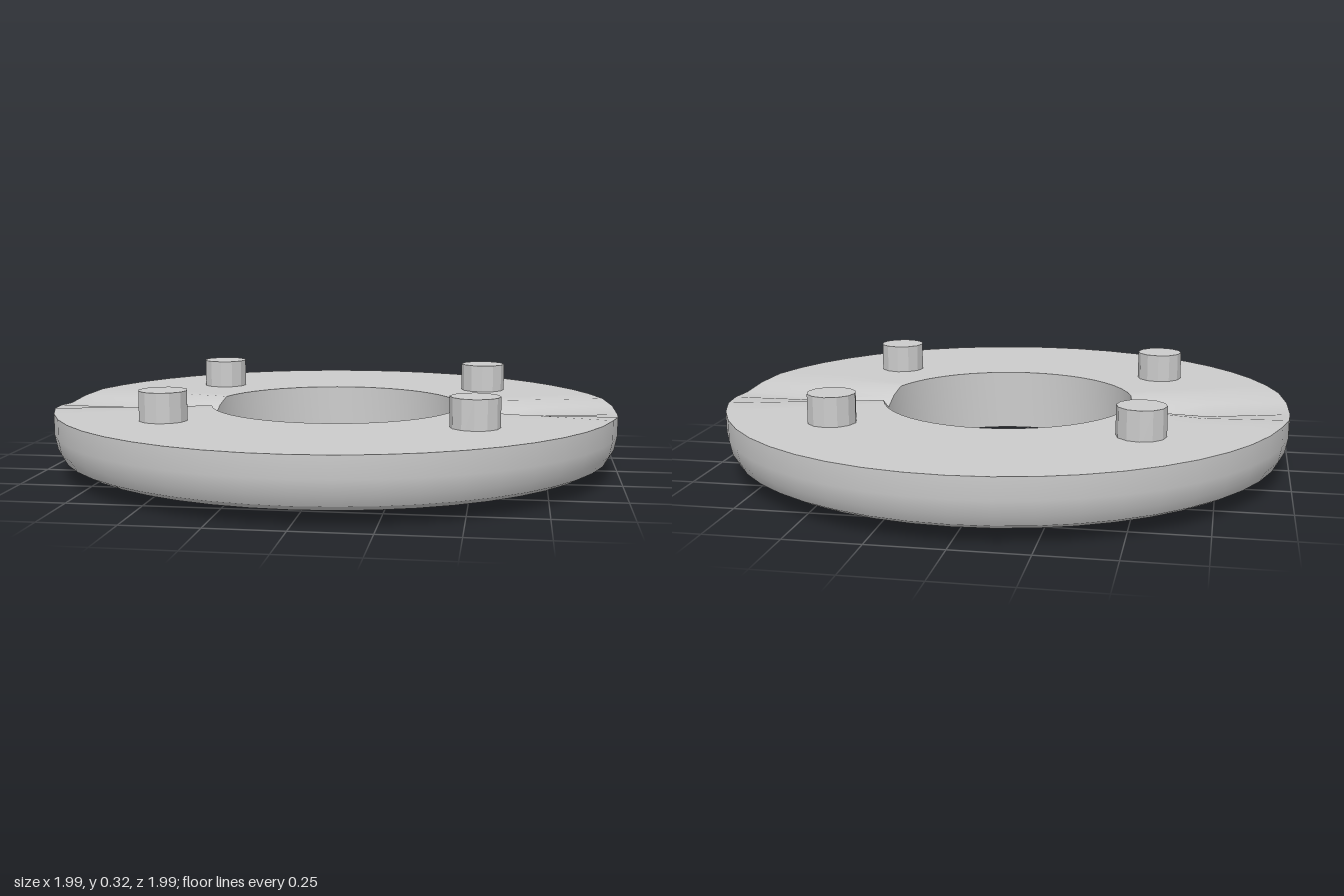
import * as THREE from 'three';
import { toCreasedNormals } from 'three/addons/utils/BufferGeometryUtils.js';

const TOP = 0.222;

export function createModel() {
  const model = new THREE.Group();
  const material = new THREE.MeshStandardMaterial({ color: 0xcccccc });

  const add = (geometry, name, x = 0, y = 0, z = 0) => {
    const mesh = new THREE.Mesh(toCreasedNormals(geometry, 0.5), material);
    mesh.name = name;
    mesh.position.set(x, y, z);
    model.add(mesh);
  };

  // Ring: closed profile with a shallow conical underside and a rounded rim
  const profile = [
    [0.447, 0], [0.93, 0.046], [0.965, 0.065], [0.985, 0.1], [0.995, 0.15],
    [0.995, TOP], [0.72, TOP], [0.447, TOP], [0.447, 0],
  ].map(([r, y]) => new THREE.Vector2(r, y));
  const ring = new THREE.LatheGeometry(profile, 48);

  // Shallow radial grooves across the top on the left and right sides
  const pos = ring.attributes.position;
  for (let i = 0; i < pos.count; i++) {
    if (pos.getY(i) < TOP - 0.001) continue;
    const x = Math.abs(pos.getX(i));
    const z = Math.abs(pos.getZ(i));
    const falloff = Math.max(0, 1 - Math.atan2(z, x) / 0.23);
    const inward = (1 - Math.hypot(x, z)) / 0.55;
    pos.setY(i, TOP - falloff * (0.018 + 0.035 * inward));
  }
  add(ring, 'ring');

  // Four locating pegs
  for (const sx of [-1, 1]) {
    for (const sz of [-1, 1]) {
      const peg = new THREE.CylinderGeometry(0.082, 0.082, 0.13, 12);
      add(peg, 'peg', sx * 0.513, 0.257, sz * 0.453);
    }
  }
  return model;
}
